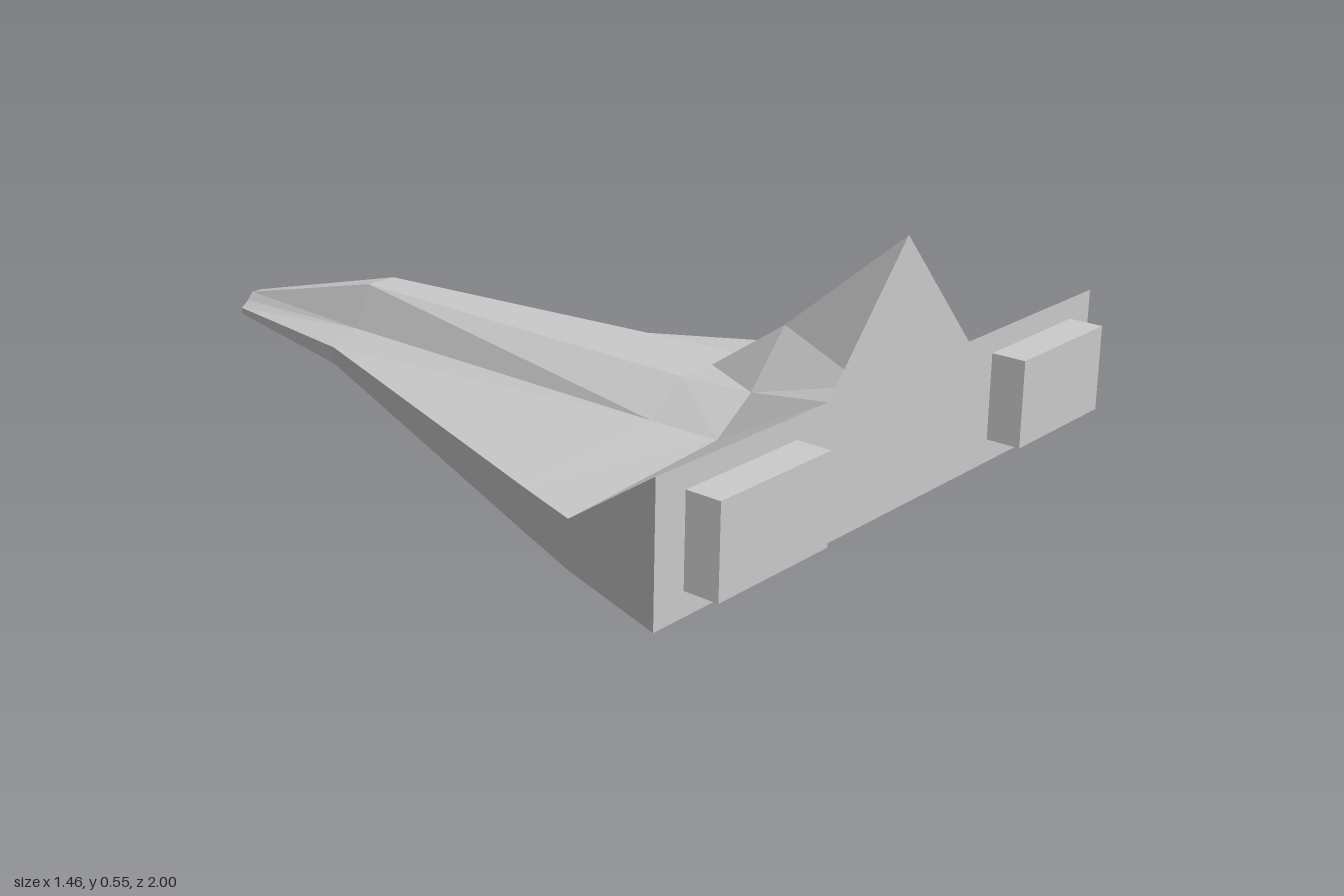
import * as THREE from 'three';

const material = new THREE.MeshStandardMaterial({ color: 0xcccccc, flatShading: true });

// Stations from nose (-z) to tail (+z), half sections:
// wing edge (w, h), spine foot, spine shoulder, ridge height
const stations = [
  { z: -1.0, w: 0.05, h: 0.015, foot: [0.03, 0.03], shoulder: [0.015, 0.05], ridge: 0.05 },
  { z: -0.53, w: 0.155, h: 0.04, foot: [0.083, 0.07], shoulder: [0.04, 0.17], ridge: 0.17 },
  { z: 0.47, w: 0.567, h: 0.09, foot: [0.193, 0.12], shoulder: [0.1, 0.19], ridge: 0.19 },
  { z: 0.65, w: 0.64, h: 0.1, foot: [0.21, 0.13], shoulder: [0.105, 0.2], ridge: 0.315 },
  { z: 0.925, w: 0.73, h: 0.283, foot: [0.24, 0.283], shoulder: [0.12, 0.283], ridge: 0.55 },
];

const mirror = ([x, y]) => [-x, y];

// Joins open strips of points (counterclockwise seen from the tail) and caps both ends
function loft(name, section, pivot) {
  const rings = stations.map((s) => section(s).map(([x, y]) => new THREE.Vector3(x, y, s.z)));
  const n = rings[0].length;
  const points = [];
  for (let i = 0; i < rings.length - 1; i++) {
    for (let j = 0; j < n - 1; j++) {
      const a = rings[i][j], b = rings[i][j + 1];
      const c = rings[i + 1][j], d = rings[i + 1][j + 1];
      // Keep the diagonals symmetric on both halves
      if (j < (n - 1) / 2) points.push(a, b, c, b, d, c);
      else points.push(a, b, d, a, d, c);
    }
  }
  const nose = rings[0], tail = rings[rings.length - 1];
  for (let j = 1; j < n - 1; j++) {
    const k = (pivot + j) % n, l = (pivot + j + 1) % n;
    points.push(tail[pivot], tail[k], tail[l]);
    points.push(nose[pivot], nose[l], nose[k]);
  }
  const geometry = new THREE.BufferGeometry().setFromPoints(points);
  geometry.computeVertexNormals();
  const mesh = new THREE.Mesh(geometry, material);
  mesh.name = name;
  return mesh;
}

export function createModel() {
  const model = new THREE.Group();
  model.name = 'deltaWingShip';

  // Flat-bottomed delta hull with upswept tail flaps
  model.add(loft('wingHull', ({ w, h, foot }) =>
    [mirror(foot), [-w, h], [-w, 0], [w, 0], [w, h], foot], 0));

  // Raised spine rising into the tail fin
  model.add(loft('spineAndFin', ({ foot, shoulder, ridge }) =>
    [foot, shoulder, [0, ridge], mirror(shoulder), mirror(foot)], 2));

  // Box engines on the tail face
  for (const [side, name] of [[1, 'leftEngine'], [-1, 'rightEngine']]) {
    const engine = new THREE.Mesh(new THREE.BoxGeometry(0.316, 0.186, 0.08), material);
    engine.position.set(side * 0.492, 0.143, 0.96);
    engine.name = name;
    model.add(engine);
  }
  return model;
}
